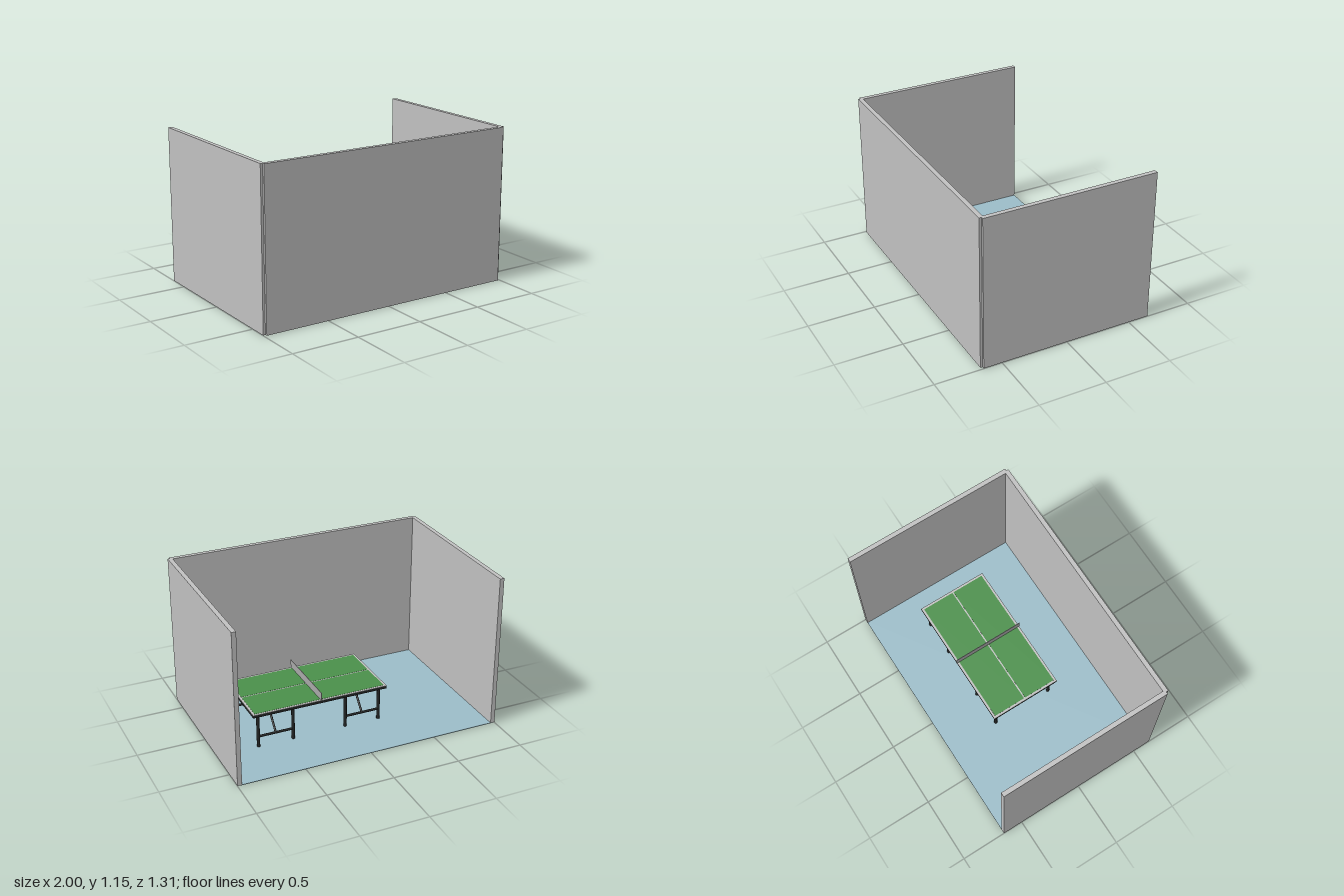
import * as THREE from 'three';

const mat = (name, color) => {
  const m = new THREE.MeshStandardMaterial({ color });
  m.name = name;
  return m;
};

export function createModel() {
  const grey = mat('pale grey', 0xc0c0c0);
  const blue = mat('floor blue', 0x9bbcc8);
  const green = mat('table green', 0x4a8f4a);
  const dark = mat('dark metal', 0x222424);
  const netGrey = mat('net grey', 0xa8a8a8);

  const model = new THREE.Group();
  model.name = 'tableTennisRoom';

  // Box given by its minimum and maximum corners
  const box = (parent, name, material, x0, x1, y0, y1, z0, z1) => {
    const mesh = new THREE.Mesh(new THREE.BoxGeometry(x1 - x0, y1 - y0, z1 - z0), material);
    mesh.position.set((x0 + x1) / 2, (y0 + y1) / 2, (z0 + z1) / 2);
    mesh.name = name;
    parent.add(mesh);
    return mesh;
  };

  // Round bar between two points
  const bar = (parent, name, a, b, radius) => {
    const from = new THREE.Vector3(...a), to = new THREE.Vector3(...b);
    const dir = to.clone().sub(from);
    const mesh = new THREE.Mesh(new THREE.CylinderGeometry(radius, radius, dir.length(), 12), dark);
    mesh.position.copy(from).add(to).multiplyScalar(0.5);
    mesh.quaternion.setFromUnitVectors(new THREE.Vector3(0, 1, 0), dir.normalize());
    mesh.name = name;
    parent.add(mesh);
  };

  // Room: floor and three walls, open at the back
  const H = 1.15;
  box(model, 'floor', blue, -0.984, 0.984, 0, 0.004, -0.655, 0.638);
  box(model, 'leftWall', grey, 0.967, 1, 0.002, H, -0.655, 0.638);
  box(model, 'rightWall', grey, -1, -0.967, 0.002, H, -0.655, 0.638);
  box(model, 'frontWall', grey, -0.983, 0.983, 0.002, H, 0.622, 0.655);

  // Table, built around its own centre
  const table = new THREE.Group();
  table.name = 'table';
  table.position.set(0.218, 0, -0.014);
  model.add(table);

  const L = 0.517, W = 0.274, top = 0.285, edge = 0.017;
  box(table, 'tabletopSlab', dark, -L, L, 0.262, top - 0.004, -W, W);
  box(table, 'borderLines', grey, -L, L, top - 0.004, top - 0.001, -W, W);
  for (const s of [-1, 1]) {
    // Playing courts on each side of the centre line
    const z0 = s > 0 ? 0.005 : -W + edge;
    box(table, 'court', green, -L + edge, L - edge, top - 0.001, top, z0, z0 + W - edge - 0.005);
  }
  box(table, 'net', netGrey, -0.002, 0.002, top, top + 0.06, -W - 0.004, W + 0.004);

  // Four leg frames: two legs, a stretcher and a slanted strut each
  for (const sx of [-1, 1]) for (const sz of [-1, 1]) {
    const frame = new THREE.Group();
    frame.name = 'legFrame';
    table.add(frame);
    const z = sz * 0.235, outer = sx * 0.47, inner = sx * 0.204, mid = (outer + inner) / 2;
    for (const x of [outer, inner]) bar(frame, 'leg', [x, 0.004, z], [x, 0.264, z], 0.012);
    bar(frame, 'stretcher', [inner, 0.085, z], [outer, 0.085, z], 0.009);
    bar(frame, 'strut', [mid, 0.085, z], [mid, 0.264, z - sz * 0.16], 0.008);
  }
  return model;
}
